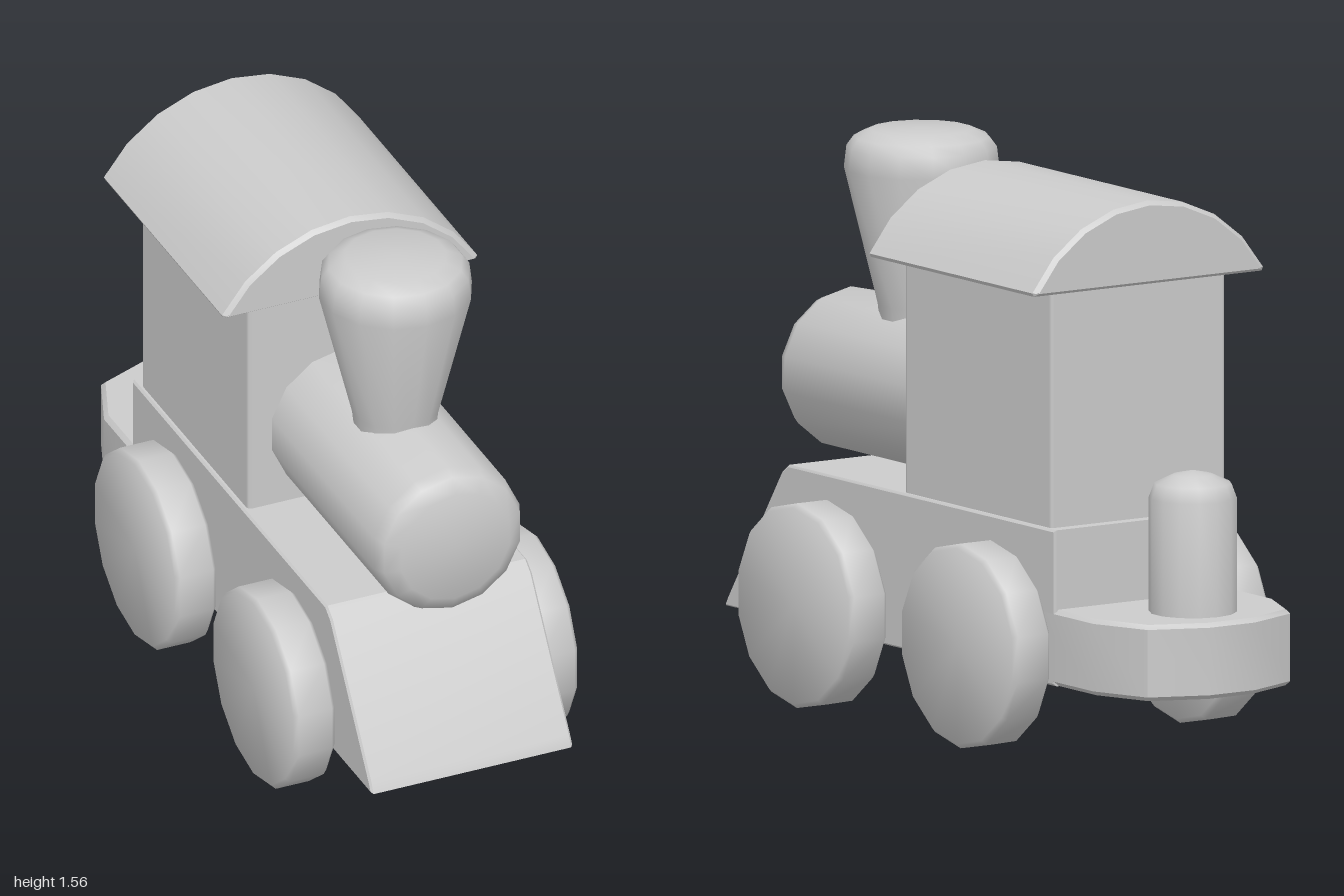
import * as THREE from 'three';
import { toCreasedNormals } from 'three/addons/utils/BufferGeometryUtils.js';
import { RoundedBoxGeometry } from 'three/addons/geometries/RoundedBoxGeometry.js';

const SIDES = 14;
const points = (list) => list.map(([a, b]) => new THREE.Vector2(a, b));

// Solid of revolution about y, from [radius, height] pairs listed bottom to top
function turned(profile, crease = 0.9) {
  return toCreasedNormals(new THREE.LatheGeometry(points(profile), SIDES), crease);
}

// Outline extruded along z, centred on z = 0, with small bevelled edges
function slab(outline, depth, bevel = 0.012) {
  const geometry = new THREE.ExtrudeGeometry(new THREE.Shape(points(outline)), {
    depth: depth - 2 * bevel, bevelEnabled: true, bevelThickness: bevel,
    bevelSize: bevel, bevelOffset: -bevel, bevelSegments: 1,
  });
  geometry.translate(0, 0, bevel - depth / 2);
  return toCreasedNormals(geometry, 0.6);
}

export function createModel() {
  const model = new THREE.Group();
  model.name = 'toyLocomotive';
  const material = new THREE.MeshStandardMaterial({ color: 0xcccccc });

  function add(name, geometry, x = 0, y = 0, z = 0) {
    const mesh = new THREE.Mesh(geometry, material);
    mesh.name = name;
    mesh.position.set(x, y, z);
    model.add(mesh);
    return mesh;
  }

  // Chassis with a sloping nose, drawn in side view
  const chassis = slab([[-0.585, 0.2], [1, 0.2], [0.985, 0.23], [0.73, 0.605], [0.695, 0.63], [-0.585, 0.63]], 0.6, 0.006);
  add('chassis', chassis.rotateY(-Math.PI / 2));

  // Low rear platform with a rounded end, drawn in plan
  const platform = slab([
    [-0.3, 0.5], [0.3, 0.5], [0.3, 0.77], [0.235, 0.935],
    [0.075, 1], [-0.075, 1], [-0.235, 0.935], [-0.3, 0.77],
  ], 0.21);
  add('rearPlatform', platform.rotateX(-Math.PI / 2), 0, 0.306);

  // Peg on the rear platform
  add('rearPeg', turned([
    [0, 0.38], [0.12, 0.38], [0.12, 0.725], [0.105, 0.765], [0.055, 0.788], [0, 0.8],
  ]), 0, 0, -0.81);

  // Boiler with a rounded front edge
  const boiler = turned([
    [0, 0], [0.222, 0], [0.222, 0.73], [0.207, 0.765], [0.165, 0.787], [0, 0.79],
  ]);
  add('boiler', boiler.rotateX(Math.PI / 2), 0, 0.852, 0.1);

  // Flared chimney
  add('chimney', turned([
    [0, 1.03], [0.115, 1.03], [0.12, 1.075], [0.212, 1.45],
    [0.205, 1.51], [0.185, 1.537], [0.14, 1.557], [0, 1.56],
  ]), 0, 0, 0.49);

  // Cabin and its arched roof
  add('cabin', new RoundedBoxGeometry(0.575, 0.7, 0.705, 1, 0.012), 0, 0.955, -0.198);
  const roofRadius = 0.438, halfAngle = Math.asin(0.38 / roofRadius), steps = 8;
  const arch = [];
  for (let i = 0; i <= steps; i++) {
    const a = halfAngle * (1 - (2 * i) / steps);
    arch.push([roofRadius * Math.sin(a), 1.512 - roofRadius * (1 - Math.cos(a))]);
  }
  arch.push([-0.375, 1.282], [0.375, 1.282]);
  add('roof', slab(arch, 0.805), 0, 0, -0.203);

  // Four wheels, mirrored left and right
  const r = 0.282;
  const wheel = turned([
    [0, 0], [r - 0.012, 0], [r, 0.012], [r, 0.111], [r - 0.012, 0.123], [0, 0.123],
  ]).rotateY(Math.PI / 2).rotateZ(-Math.PI / 2);
  for (const [end, z] of [['front', 0.49], ['rear', -0.295]]) {
    add(end + 'LeftWheel', wheel, 0.3, r, z);
    add(end + 'RightWheel', wheel, -0.3, r, z).rotation.y = Math.PI;
  }

  return model;
}
